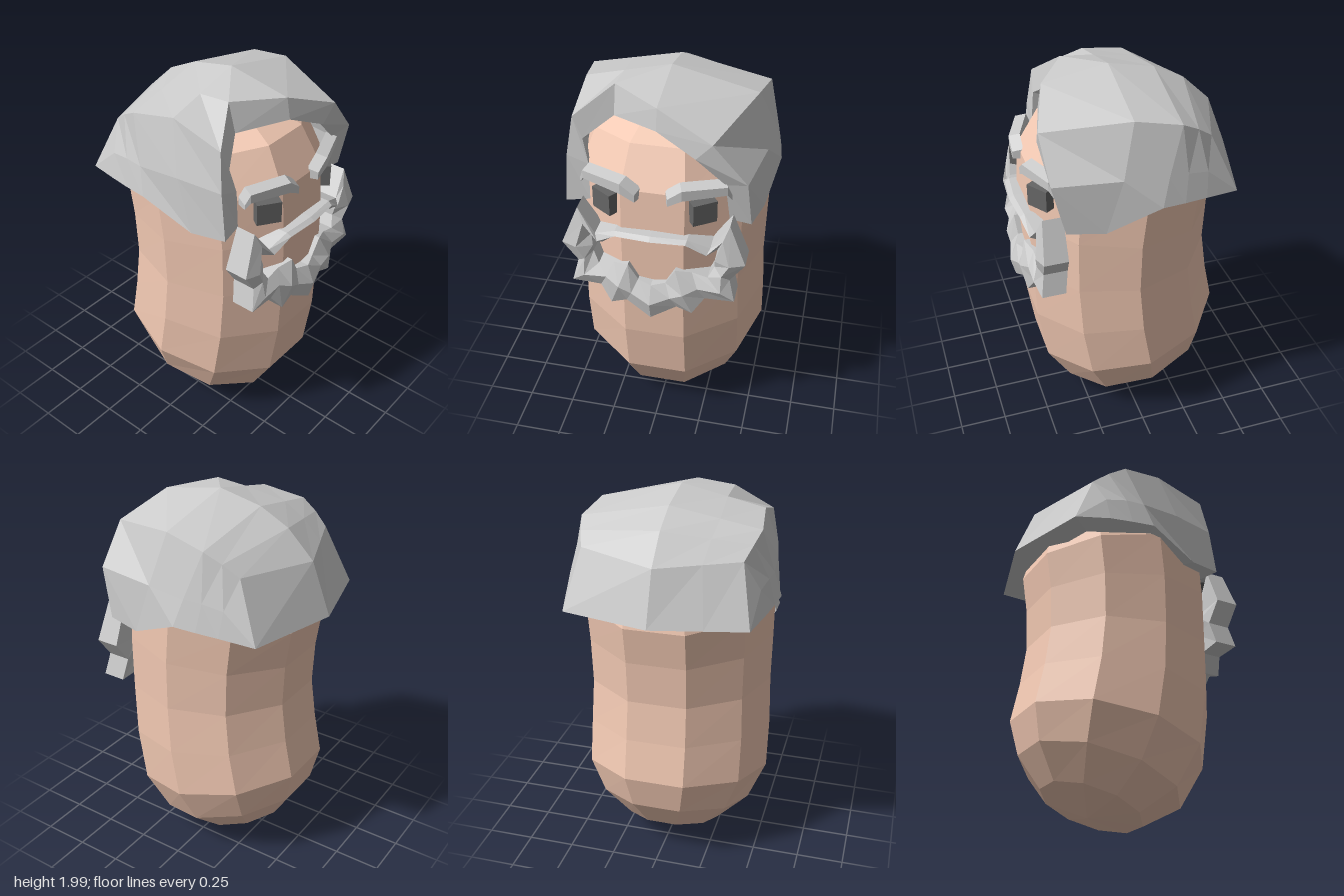
import * as THREE from 'three';

const V = (x, y, z) => new THREE.Vector3(x, y, z);
const mirrorX = p => V(-p.x, p.y, p.z);
const material = (color) => new THREE.MeshStandardMaterial({ color, flatShading: true });

// Skins a row of closed cross-sections; rows either join up or get end caps.
function loft(rows, joined = false) {
  const pos = [];
  const tri = (a, b, c) => {
    const area = b.clone().sub(a).cross(c.clone().sub(a)).length();
    if (area > 1e-7) for (const p of [a, b, c]) pos.push(p.x, p.y, p.z);
  };
  const quad = (a, b, c, d) => { tri(a, b, c); tri(a, c, d); };
  const n = rows[0].length, m = rows.length;
  for (let i = 0; i < (joined ? m : m - 1); i++) {
    const r = rows[i], s = rows[(i + 1) % m];
    for (let j = 0; j < n; j++) {
      const k = (j + 1) % n;
      quad(r[j], r[k], s[k], s[j]);
    }
  }
  if (!joined) {
    const f = rows[0], l = rows[m - 1];
    for (let k = 0; k < n / 2 - 1; k++) {
      quad(f[n - 1 - k], f[n - 2 - k], f[k + 1], f[k]);
      quad(l[k], l[k + 1], l[n - 2 - k], l[n - 1 - k]);
    }
  }
  const g = new THREE.BufferGeometry();
  g.setAttribute('position', new THREE.Float32BufferAttribute(pos, 3));
  g.computeVertexNormals();
  return g;
}

export function createModel() {
  const group = new THREE.Group();
  const skin = material(0xf2c9b3), grey = material(0xcccccc), dark = material(0x666666);
  const add = (name, geometry, mat) => {
    const mesh = new THREE.Mesh(geometry, mat);
    mesh.name = name;
    group.add(mesh);
    return mesh;
  };

  // Bean-shaped body: ten-sided rings [centre z, centre y, radius, tilt]
  const rings = [
    [-0.15, 0.04, 0, 0], [-0.125, 0.095, 0.265, -0.33], [-0.08, 0.235, 0.425, -0.29],
    [-0.035, 0.44, 0.515, -0.2], [0.01, 0.7, 0.515, -0.11], [0.03, 0.96, 0.505, -0.02],
    [0.025, 1.23, 0.51, 0.07], [0, 1.47, 0.515, 0.15], [-0.03, 1.67, 0.43, 0.17],
    [-0.06, 1.79, 0.26, 0.17], [-0.07, 1.83, 0, 0],
  ];
  add('body', loft(rings.map(([cz, cy, r, tilt]) =>
    Array.from({ length: 10 }, (_, k) => {
      const a = (k + 0.5) * Math.PI / 5, z = r * Math.cos(a);
      return V(r * Math.sin(a), cy + tilt * z, cz + z);
    }))), skin);

  // Hair: thick shell, rows run from the swept fringe to the back rim
  const fringeOuter = [
    V(-0.47, 1.37, 0.39), V(-0.46, 1.62, 0.36), V(-0.43, 1.82, 0.33), V(-0.24, 1.96, 0.22),
    V(0, 1.94, 0.38), V(0.28, 1.83, 0.47), V(0.45, 1.63, 0.46), V(0.47, 1.37, 0.4),
  ];
  const fringeInner = [
    V(-0.35, 1.38, 0.37), V(-0.35, 1.58, 0.36), V(-0.38, 1.71, 0.34), V(-0.24, 1.81, 0.26),
    V(0, 1.83, 0.4), V(0.2, 1.74, 0.46), V(0.34, 1.6, 0.43), V(0.36, 1.37, 0.38),
  ];
  // Each half row: hem, side, crease, crown
  const halfRows = [
    [V(0.51, 1.36, 0.21), V(0.5, 1.63, 0.12), V(0.435, 1.9, 0.05), V(0, 2, 0.04)],
    [V(0.555, 1.48, -0.06), V(0.52, 1.62, -0.1), V(0.465, 1.86, -0.18), V(0, 1.95, -0.2)],
    [V(0.54, 1.475, -0.18), V(0.51, 1.62, -0.2), V(0.44, 1.81, -0.27), V(0, 1.87, -0.36)],
    [V(0.52, 1.47, -0.3), V(0.49, 1.6, -0.31), V(0.41, 1.75, -0.35), V(0, 1.73, -0.505)],
    [V(0.475, 1.45, -0.48), V(0.475, 1.45, -0.48), V(0.475, 1.45, -0.48), V(0, 1.46, -0.61)],
  ];
  const hairRows = halfRows.map(([hem, side, crease, crown]) => {
    const left = [hem, side, crease].map(mirrorX);
    const between = left[2].clone().lerp(crown, 0.45);
    const outer = [...left, between, crown, crease, side, hem];
    const inner = outer.map(p => V(p.x * 0.83, 1.39 + (p.y - 1.39) * 0.8, p.z * 0.78));
    return [...outer, ...inner.reverse()];
  });
  add('hair', loft([[...fringeOuter, ...fringeInner.reverse()], ...hairRows]), grey);

  // Beard and moustache: a loop round the mouth
  // [outer x, outer y, inner x, inner y, ridge z, depth]
  const beardHalf = [
    [0, 0.83, 0, 1.03, 0.6, 0.12], [0.13, 0.905, 0.07, 1.04, 0.575, 0.12],
    [0.21, 0.88, 0.12, 1.13, 0.58, 0.14], [0.27, 0.965, 0.2, 1.11, 0.55, 0.14],
    [0.42, 0.97, 0.28, 1.09, 0.55, 0.15], [0.39, 1.09, 0.31, 1.15, 0.53, 0.15],
    [0.465, 1.2, 0.31, 1.19, 0.54, 0.15], [0.38, 1.41, 0.32, 1.25, 0.52, 0.13],
    [0.29, 1.28, 0.26, 1.22, 0.54, 0.14], [0.18, 1.33, 0.17, 1.3, 0.565, 0.1],
  ];
  const section = ([ox, oy, ix, iy, z, d]) => [
    V(ix, iy, z - d), V(ix, iy, z - 0.04), V((ox + ix) / 2, (oy + iy) / 2, z),
    V(ox, oy, z - 0.025), V(ox, oy, z - d),
  ];
  const rightSide = beardHalf.map(section);
  const leftSide = rightSide.slice(1).reverse().map(s => s.map(mirrorX));
  add('beard', loft([...rightSide, section([0, 1.335, 0, 1.3, 0.58, 0.1]), ...leftSide], true), grey);

  // Eyebrows: [x, bottom, top, front z]
  const brow = [
    [0.08, 1.505, 1.56, 0.53], [0.15, 1.545, 1.615, 0.53],
    [0.355, 1.555, 1.615, 0.45], [0.375, 1.52, 1.56, 0.43],
  ].map(([x, b, t, z]) => [
    V(x - 0.02, t, z - 0.055), V(x, t - 0.015, z), V(x, b, z), V(x - 0.02, b, z - 0.055),
  ]);
  add('leftEyebrow', loft(brow), grey);
  add('rightEyebrow', loft(brow.map(s => s.map(mirrorX)).reverse()), grey);

  // Eyes set flat on the angled cheeks
  for (const side of [1, -1]) {
    const eye = add(side > 0 ? 'leftEye' : 'rightEye', new THREE.BoxGeometry(0.125, 0.115, 0.08), dark);
    eye.position.set(side * 0.235, 1.46, 0.455);
    eye.rotation.y = side * 0.6;
  }
  return group;
}
